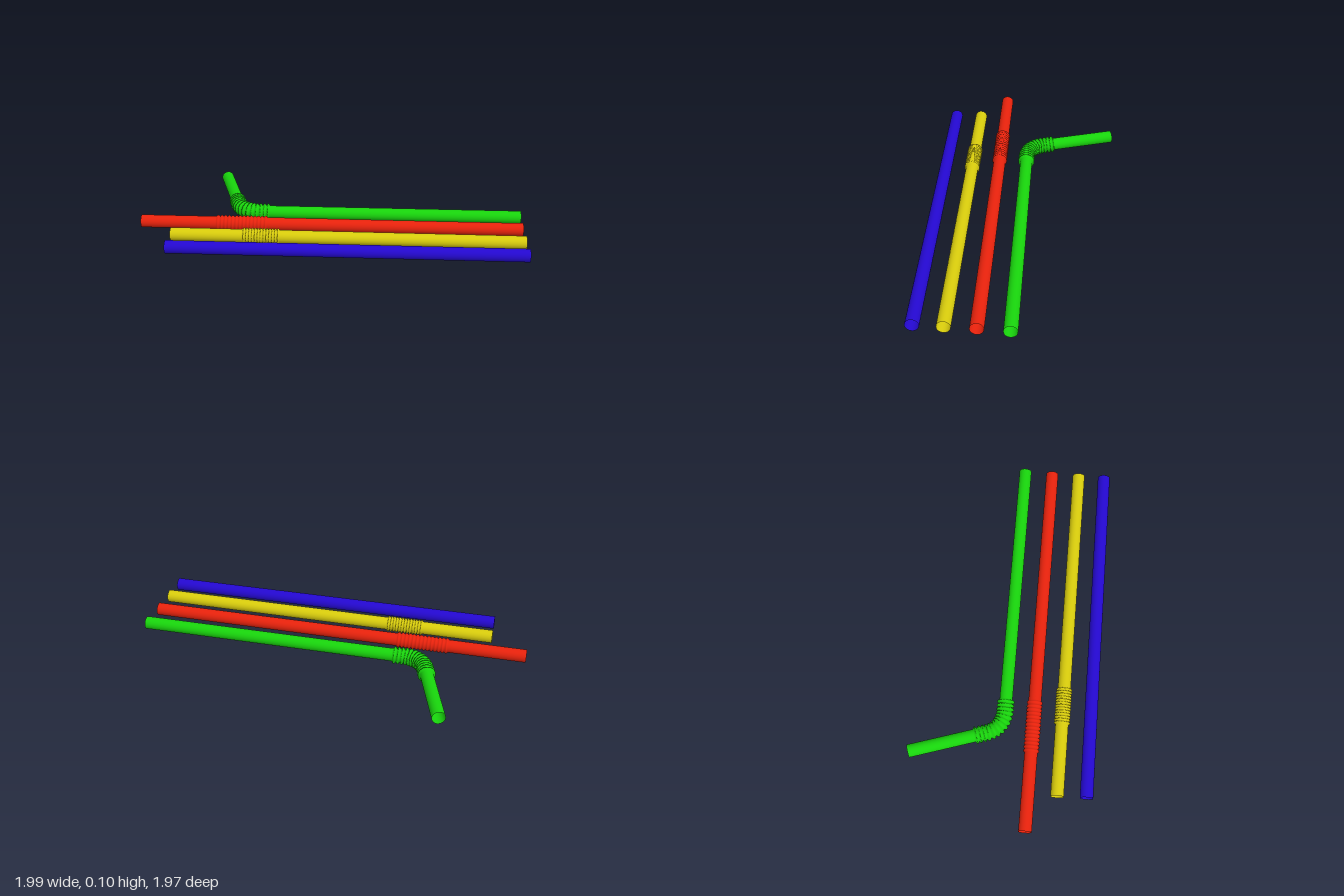
import * as THREE from 'three';

const RADIUS = 0.0375;
const HEIGHT = 0.05;
const SIDES = 32;

// Straight segments through [x, z] points, with a rounded corner at each inner point.
function makePath(points, corner) {
  const p = points.map(([x, z]) => new THREE.Vector3(x, HEIGHT, z));
  const path = new THREE.CurvePath();
  let from = p[0];
  for (let i = 1; i < p.length - 1; i++) {
    const before = p[i].clone().add(p[i - 1].clone().sub(p[i]).setLength(corner));
    const after = p[i].clone().add(p[i + 1].clone().sub(p[i]).setLength(corner));
    path.add(new THREE.LineCurve3(from, before));
    path.add(new THREE.QuadraticBezierCurve3(before, p[i], after));
    from = after;
  }
  path.add(new THREE.LineCurve3(from, p[p.length - 1]));
  return path;
}

// Open tube with a corrugated stretch, turned on a lathe and then laid along its path.
function makeStraw({ name, color, points, corner = 0, ridges }) {
  const path = makePath(points, corner);
  const length = path.getLength();
  const profile = [new THREE.Vector2(RADIUS, 0)];
  if (ridges) {
    const { start, end, count, radius } = ridges;
    const step = (end - start) / count;
    for (let i = 0; i < count; i++) {
      const y = start + i * step;
      profile.push(new THREE.Vector2(RADIUS, y));
      profile.push(new THREE.Vector2(radius, y + step * 0.35));
      profile.push(new THREE.Vector2(radius, y + step * 0.65));
    }
    profile.push(new THREE.Vector2(RADIUS, end));
  }
  profile.push(new THREE.Vector2(RADIUS, length));

  const geometry = new THREE.LatheGeometry(profile, SIDES);
  const pos = geometry.attributes.position;
  const nor = geometry.attributes.normal;
  const up = new THREE.Vector3(0, 1, 0);
  const v = new THREE.Vector3();
  const frame = new THREE.Matrix4();
  for (let i = 0; i < pos.count; i++) {
    const t = THREE.MathUtils.clamp(pos.getY(i) / length, 0, 1);
    const tangent = path.getTangent(t);
    const side = new THREE.Vector3().crossVectors(tangent, up).normalize();
    frame.makeBasis(side, tangent, up);
    v.set(pos.getX(i), 0, pos.getZ(i)).applyMatrix4(frame).add(path.getPoint(t));
    pos.setXYZ(i, v.x, v.y, v.z);
    v.fromBufferAttribute(nor, i).transformDirection(frame);
    nor.setXYZ(i, v.x, v.y, v.z);
  }

  const material = new THREE.MeshStandardMaterial({ color, side: THREE.DoubleSide });
  const mesh = new THREE.Mesh(geometry, material);
  mesh.name = name;
  return mesh;
}

export function createModel() {
  const group = new THREE.Group();
  group.name = 'drinkingStraws';
  const straws = [
    // plain straw
    { name: 'blueStraw', color: 0x2408d0, points: [[0.665, 0.948], [-0.974, -0.264]] },
    // straw with a short, fine corrugation
    {
      name: 'yellowStraw', color: 0xd8cc0c, points: [[0.761, 0.82], [-0.878, -0.398]],
      ridges: { start: 1.41, end: 1.625, count: 13, radius: 0.046 },
    },
    // straw with an extended corrugation
    {
      name: 'redStraw', color: 0xe8220c, points: [[0.862, 0.686], [-0.948, -0.654]],
      ridges: { start: 1.5, end: 1.805, count: 14, radius: 0.045 },
    },
    // bent straw
    {
      name: 'greenStraw', color: 0x18d40c, corner: 0.11,
      points: [[0.969, 0.553], [-0.386, -0.446], [-0.206, -0.975]],
      ridges: { start: 1.512, end: 1.828, count: 14, radius: 0.05 },
    },
  ];
  for (const straw of straws) group.add(makeStraw(straw));
  return group;
}
